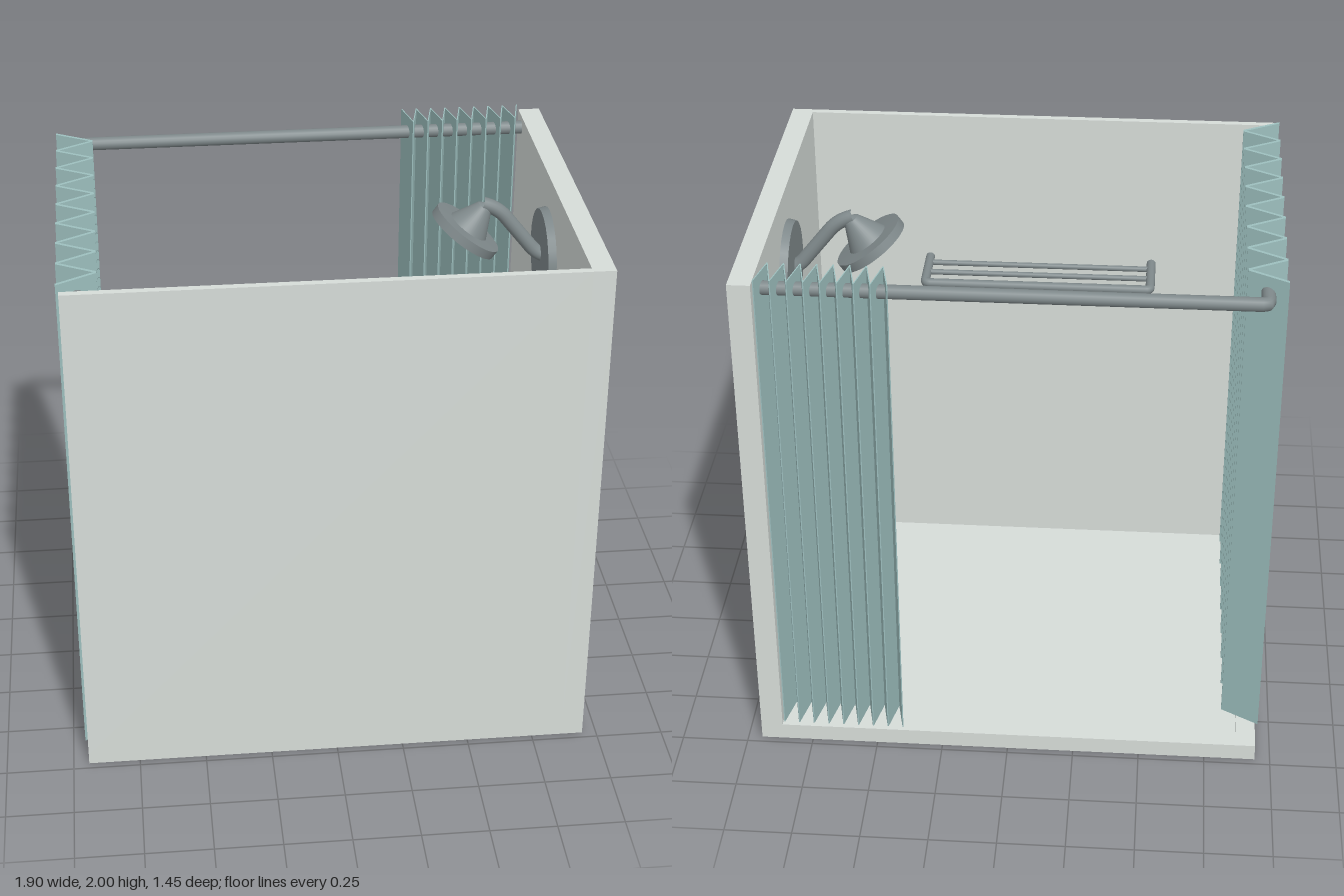
import * as THREE from 'three';
import { RoundedBoxGeometry } from 'three/addons/geometries/RoundedBoxGeometry.js';

const mat = (name, color) => {
  const m = new THREE.MeshStandardMaterial({ color });
  m.name = name;
  return m;
};
const V = (x, y, z) => new THREE.Vector3(x, y, z);

export function createModel() {
  const model = new THREE.Group();
  model.name = 'showerCubicle';
  const wallMat = mat('wall grey', 0xd6dcd8);
  const curtainMat = mat('curtain teal', 0x9dbfbe);
  const metalMat = mat('dull metal', 0x7f898b);

  const add = (name, geo, material, parent = model) => {
    const m = new THREE.Mesh(geo, material);
    m.name = name;
    parent.add(m);
    return m;
  };
  // Box given by its limits
  const block = (name, x0, x1, y0, y1, z0, z1) =>
    add(name, new THREE.BoxGeometry(x1 - x0, y1 - y0, z1 - z0), wallMat)
      .position.set((x0 + x1) / 2, (y0 + y1) / 2, (z0 + z1) / 2);
  // Straight round bar from a to b
  const bar = (name, a, b, r0, r1 = r0, parent = model) => {
    const d = b.clone().sub(a);
    const m = add(name, new THREE.CylinderGeometry(r1, r0, d.length(), 24), metalMat, parent);
    m.position.copy(a).addScaledVector(d, 0.5);
    m.quaternion.setFromUnitVectors(V(0, 1, 0), d.normalize());
    return m;
  };
  // Bent pipe through points with rounded corners
  const pipe = (name, pts, r, bend, parent = model) => {
    const path = new THREE.CurvePath();
    let from = pts[0];
    for (let i = 1; i < pts.length - 1; i++) {
      const p = pts[i];
      const a = p.clone().add(pts[i - 1].clone().sub(p).setLength(bend));
      const b = p.clone().add(pts[i + 1].clone().sub(p).setLength(bend));
      path.add(new THREE.LineCurve3(from, a));
      path.add(new THREE.QuadraticBezierCurve3(a, p, b));
      from = b;
    }
    path.add(new THREE.LineCurve3(from, pts[pts.length - 1]));
    return add(name, new THREE.TubeGeometry(path, 200, r, 16), metalMat, parent);
  };

  // Tray: floor slab with a raised rim on the two open sides
  block('trayFloor', -0.942, 0.947, 0, 0.04, -0.723, 0.722);
  block('rimBack', -0.942, 0.87, 0.04, 0.065, -0.723, -0.645);
  block('rimSide', -0.942, -0.87, 0.04, 0.065, -0.645, 0.70);

  // Two solid walls
  block('frontWall', -0.942, 0.865, 0.04, 1.98, 0.695, 0.722);
  block('sideWall', 0.865, 0.947, 0.04, 1.98, -0.723, 0.722);

  // Curtain rail
  pipe('curtainRail', [V(0.88, 1.935, -0.65), V(-0.885, 1.935, -0.65), V(-0.885, 1.935, 0.71)], 0.025, 0.02);

  // Folded curtain: a zigzag of thin upright panels
  const curtain = (name, start, step, alongX, lo, hi, thick) => {
    const corner = (i, s) => {
      const u = start + step * i + s * thick, v = i % 2 ? hi : lo;
      return alongX ? new THREE.Vector2(u, -v) : new THREE.Vector2(v, -u);
    };
    const panels = Array.from({ length: 16 }, (_, i) =>
      new THREE.Shape([corner(i, -1), corner(i + 1, -1), corner(i + 1, 1), corner(i, 1)]));
    const geo = new THREE.ExtrudeGeometry(panels, { depth: 1.92, bevelEnabled: false });
    geo.rotateX(-Math.PI / 2);
    add(name, geo, curtainMat).position.y = 0.08;
  };
  curtain('sideCurtain', -0.605, 0.0802, false, -0.952, -0.813, 0.007);
  curtain('backCurtain', 0.4, 0.0285, true, -0.722, -0.59, 0.002);

  // Shower head on an angled arm
  const shower = new THREE.Group();
  shower.name = 'shower';
  model.add(shower);
  bar('wallRose', V(0.87, 1.68, -0.03), V(0.835, 1.68, -0.03), 0.183, 0.175, shower);
  pipe('showerArm', [V(0.94, 1.67, -0.03), V(0.83, 1.68, -0.03), V(0.67, 1.88, -0.03), V(0.61, 1.9, -0.03)],
    0.027, 0.05, shower);
  const head = add('showerHead', new THREE.LatheGeometry(
    [[0, -0.02], [0.141, -0.02], [0.141, -0.02], [0.141, 0.015], [0.141, 0.015], [0.08, 0.018],
      [0.08, 0.018], [0.03, 0.115], [0.03, 0.115], [0, 0.135]].map(([x, y]) => new THREE.Vector2(x, y)), 40),
    metalMat, shower);
  head.position.set(0.552, 1.795, -0.03);
  head.rotation.z = -0.63;

  // Mixer tap
  const tap = new THREE.Group();
  tap.name = 'mixerTap';
  model.add(tap);
  const body = add('tapBody', new RoundedBoxGeometry(0.06, 0.06, 0.37, 4, 0.025), metalMat, tap);
  body.position.set(0.815, 0.93, -0.03);
  bar('spout', V(0.87, 0.93, -0.03), V(0.59, 0.93, -0.03), 0.03, 0.03, tap);
  bar('spoutTip', V(0.63, 0.93, -0.03), V(0.585, 0.93, -0.03), 0.037, 0.037, tap);
  for (const s of [-1, 1])
    bar('tapMount', V(0.87, 0.93, -0.03 + s * 0.12), V(0.81, 0.93, -0.03 + s * 0.12), 0.025, 0.025, tap);
  const lever = add('tapLever', new RoundedBoxGeometry(0.055, 0.02, 0.2, 3, 0.009), metalMat, tap);
  lever.position.set(0.815, 0.97, 0.02);

  // Quarter-round corner shelf
  const quarter = [[0, 1.02], [0.12, 1.025], [0.18, 1.05], [0.2, 1.075], [0.2, 1.085],
    [0.2, 1.085], [0.185, 1.085], [0.185, 1.085], [0.18, 1.078], [0, 1.078]];
  const shelf = add('cornerShelf', new THREE.LatheGeometry(
    quarter.map(([x, y]) => new THREE.Vector2(x * 1.05, y)), 24, Math.PI, Math.PI / 2), metalMat);
  shelf.position.set(0.87, 0, 0.695);

  // Towel rack: U-shaped frame, inner bars and a lower rail
  const rack = new THREE.Group();
  rack.name = 'towelRack';
  model.add(rack);
  const u = (name, x0, x1, y, z, r) =>
    pipe(name, [V(x0, y, 0.7), V(x0, y, z), V(x1, y, z), V(x1, y, 0.7)], r, 0.02, rack);
  u('rackFrame', -0.478, 0.415, 1.36, 0.473, 0.018);
  for (const z of [0.565, 0.645])
    bar('rackBar', V(-0.478, 1.36, z), V(0.415, 1.36, z), 0.011, 0.011, rack);
  u('lowerRail', -0.465, 0.402, 1.24, 0.603, 0.011);

  return model;
}
